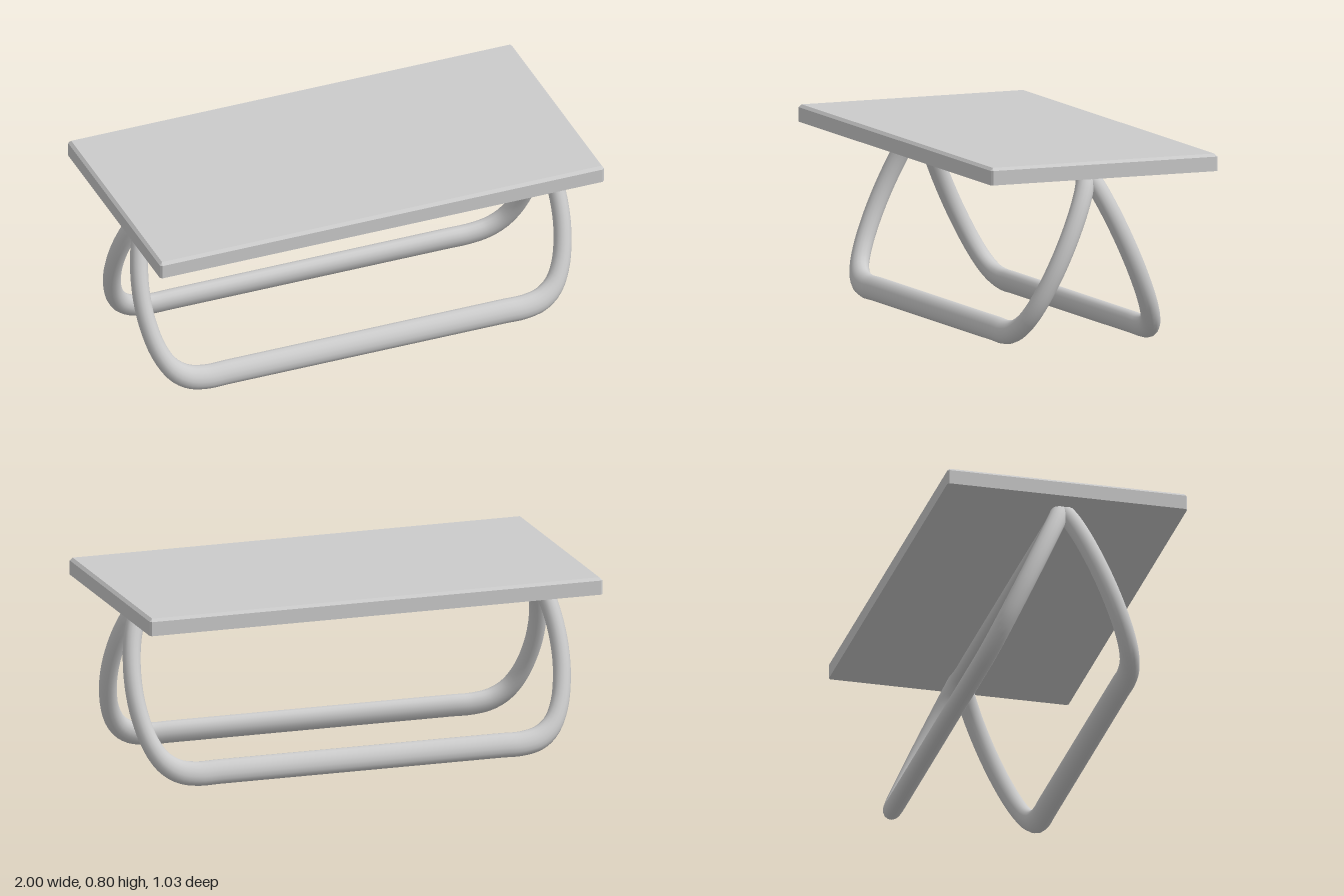
import * as THREE from 'three';
import { ConvexGeometry } from 'three/addons/geometries/ConvexGeometry.js';

const material = new THREE.MeshStandardMaterial({ color: 0xcccccc });
const BASE = 0.727, TOP = 0.8;          // tabletop underside and upper face
const PIVOT_Y = 0.735, PIVOT_Z = 0.013; // line where both loops meet
const SECTION = new THREE.Vector3(0.037, 0.052, 0.04); // half-widths of the oval tube

// Slab with chamfered upper edges and small cut vertical corners
function createTabletop() {
  const w = 1, d = 0.517, cut = 0.008, bevel = 0.012;
  const points = [];
  for (const sx of [-1, 1]) for (const sz of [-1, 1]) {
    for (const y of [BASE, TOP - bevel]) {
      points.push(new THREE.Vector3(sx * w, y, sz * (d - cut)));
      points.push(new THREE.Vector3(sx * (w - cut), y, sz * d));
    }
    points.push(new THREE.Vector3(sx * (w - bevel), TOP, sz * (d - bevel)));
  }
  const mesh = new THREE.Mesh(new ConvexGeometry(points), material);
  mesh.name = 'tabletop';
  return mesh;
}

// Closed bent-tube loop hanging from the pivot, leaning by the given angle
function createLegLoop(name, length, angle) {
  // Right half of the centreline: x and height fraction, bottom to top
  const half = [
    [0.4, 0], [0.62, 0], [0.72, 0], [0.8, 0.025], [0.862, 0.09], [0.907, 0.205],
    [0.934, 0.36], [0.942, 0.5], [0.936, 0.65], [0.915, 0.8], [0.882, 0.915],
    [0.84, 0.98], [0.78, 1], [0.66, 1], [0.4, 1],
  ];
  const outline = [...half, ...half.map(([x, t]) => [-x, t]).reverse()];
  // Sweep a round tube in stretched space, then squash it to its oval section
  const path = new THREE.CatmullRomCurve3(outline.map(([x, t]) =>
    new THREE.Vector3(x / SECTION.x, (t - 1) * length / SECTION.y, 0)), true);
  const geometry = new THREE.TubeGeometry(path, 200, 1, 16, true);
  geometry.scale(SECTION.x, SECTION.y, SECTION.z);
  const mesh = new THREE.Mesh(geometry, material);
  mesh.name = name;
  mesh.position.set(0, PIVOT_Y, PIVOT_Z);
  mesh.rotation.x = THREE.MathUtils.degToRad(angle);
  return mesh;
}

export function createModel() {
  const table = new THREE.Group();
  table.name = 'table';
  table.add(
    createTabletop(),
    createLegLoop('frontLegLoop', 0.744, -24.9),
    createLegLoop('backLegLoop', 0.752, 24.4),
  );
  return table;
}
